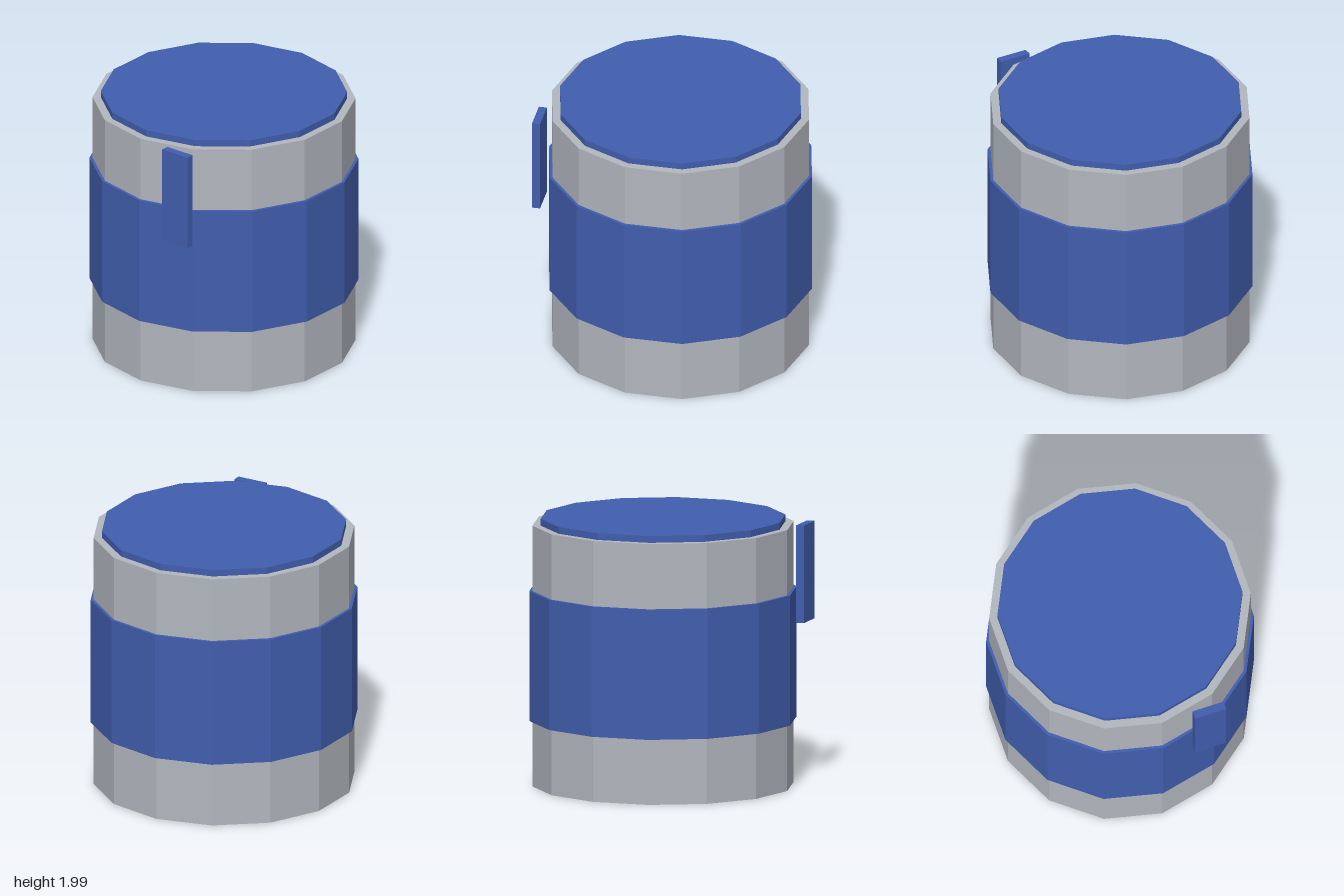
import * as THREE from 'three';

const SIDES = 14;

export function createModel() {
  const group = new THREE.Group();
  const grey = new THREE.MeshStandardMaterial({ name: 'lightGrey', color: 0xb2b6be, flatShading: true });
  const blue = new THREE.MeshStandardMaterial({ name: 'blue', color: 0x415eae, flatShading: true });

  const add = (name, geometry, material, x, y, z) => {
    const mesh = new THREE.Mesh(geometry, material);
    mesh.name = name;
    mesh.position.set(x, y, z);
    group.add(mesh);
  };

  // Faceted drum section between two heights
  const drum = (name, radius, y0, y1, material) =>
    add(name, new THREE.CylinderGeometry(radius, radius, y1 - y0, SIDES), material, 0, (y0 + y1) / 2, -0.012);

  drum('body', 0.966, 0, 1.94, grey);
  drum('band', 0.988, 0.487, 1.455, blue);
  drum('lid', 0.905, 1.94, 1.99, blue);

  // Upright tab on the front
  add('frontTab', new THREE.BoxGeometry(0.24, 0.725, 0.06), blue, 0.36, 1.577, 0.97);

  return group;
}
